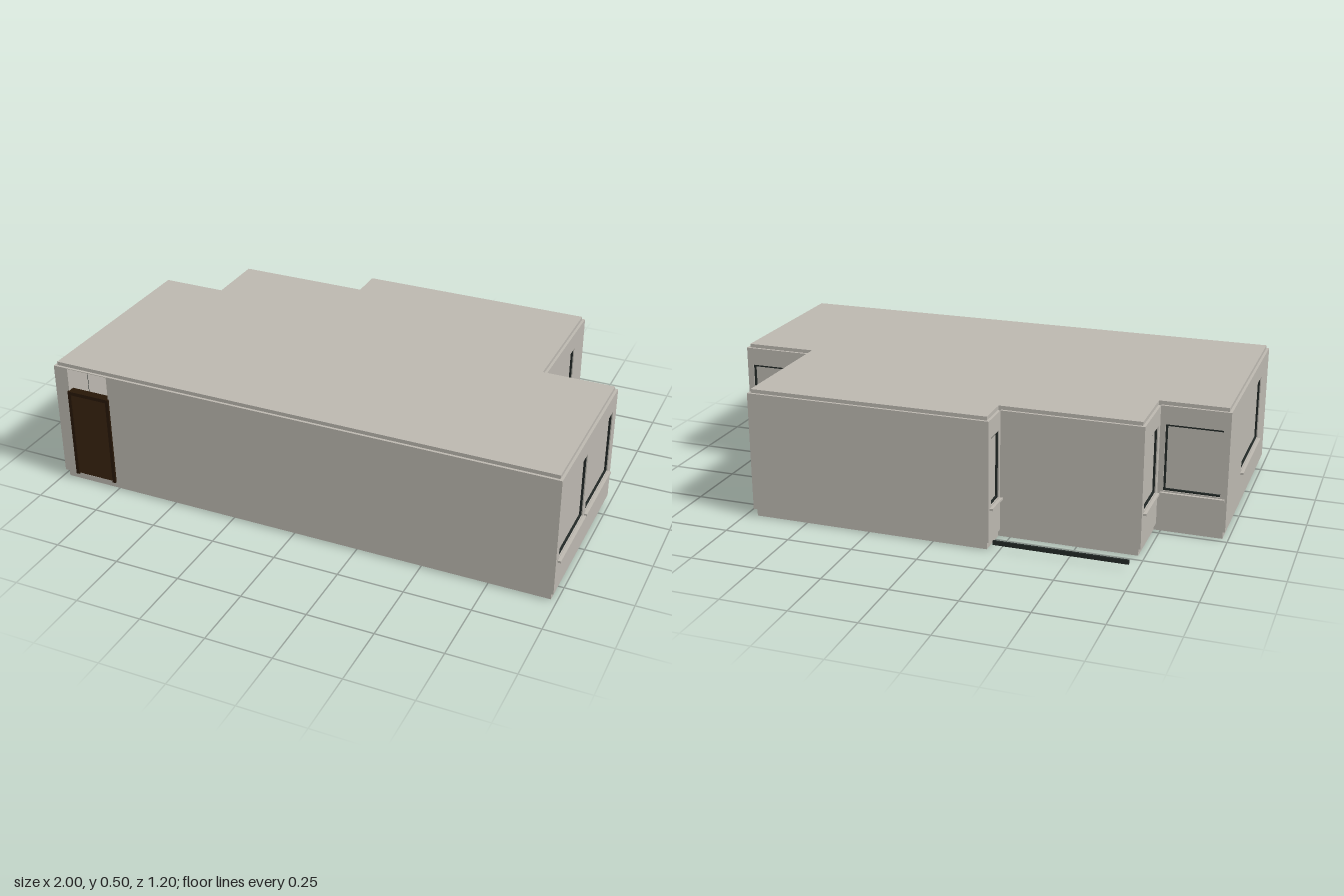
import * as THREE from 'three';

const mat = (name, color) => {
  const m = new THREE.MeshStandardMaterial({ color });
  m.name = name;
  return m;
};

export function createModel() {
  const root = new THREE.Group();
  root.name = 'building';
  const plaster = mat('warm grey plaster', 0xbbb7af);
  const frameDark = mat('dark frame', 0x222826);
  const wood = mat('dark brown wood', 0x38230f);
  const woodDark = mat('door frame brown', 0x271707);

  const add = (parent, name, geo, material) => {
    const m = new THREE.Mesh(geo, material);
    m.name = name;
    parent.add(m);
    return m;
  };
  // Box given by its extents
  const box = (parent, name, material, x0, x1, y0, y1, z0, z1) =>
    add(parent, name, new THREE.BoxGeometry(x1 - x0, y1 - y0, z1 - z0), material)
      .position.set((x0 + x1) / 2, (y0 + y1) / 2, (z0 + z1) / 2);

  // Stepped floor plan as [x, z], inset by d
  const plan = (d) => [
    [-0.988 + d, 0.592 - d], [0.988 - d, 0.592 - d], [0.988 - d, -0.09 + d],
    [0.715 - d, -0.09 + d], [0.715 - d, -0.6 + d], [-0.215 + d, -0.6 + d],
    [-0.215 + d, -0.475 + d], [-0.735 + d, -0.475 + d],
    [-0.735 + d, -0.235 + d], [-0.988 + d, -0.235 + d],
  ];
  const slab = (name, d, y0, y1) => {
    const s = new THREE.Shape(plan(d).map(([x, z]) => new THREE.Vector2(x, -z)));
    const g = new THREE.ExtrudeGeometry(s, { depth: y1 - y0, bevelEnabled: false });
    add(root, name, g.rotateX(-Math.PI / 2).translate(0, y0, 0), plaster);
  };
  slab('floorSlab', 0.01, 0, 0.03);
  slab('roofSlab', 0.01, 0.485, 0.5);

  // Openings per wall: start, end along the wall, bottom, top
  const Y0 = 0.163, Y1 = 0.417, T = 0.025;
  const openings = [
    [[0.058, 0.228, 0.031, 0.484]],
    [[0.03, 0.312, Y0, Y1], [0.342, 0.635, Y0, Y1]],
    [[0.025, 0.25, Y0, Y1]],
    [[0.11, 0.38, 0.215, Y1]],
    [],
    [[0.02, 0.11, Y0, Y1]],
    [],
    [[0.03, 0.21, Y0, Y1]],
    [[0.02, 0.235, Y0, Y1]],
    [[0.285, 0.66, Y0, Y1]],
  ];

  // Window: recessed pane, four frame bars and a projecting sill
  const addWindow = (wall, [u0, u1, y0, y1]) => {
    const w = new THREE.Group();
    w.name = 'window';
    wall.add(w);
    const f = 0.007, zb = -0.022, zf = -0.004;
    box(w, 'pane', plaster, u0, u1, y0, y1, -0.016, -0.011);
    for (const u of [u0, u1 - f]) box(w, 'frameSide', frameDark, u, u + f, y0, y1, zb, zf);
    for (const y of [y0, y1 - f]) box(w, 'frameRail', frameDark, u0 + f, u1 - f, y, y + f, zb, zf);
    box(w, 'sill', plaster, u0 - 0.01, u1 + 0.01, 0.15, 0.158, -0.005, 0.012);
  };

  // Outer walls follow the plan, each seen from outside with u running right
  const corners = plan(0);
  corners.forEach(([ax, az], i) => {
    const [bx, bz] = corners[(i + 1) % corners.length];
    const len = Math.hypot(bx - ax, bz - az);
    const wall = new THREE.Group();
    wall.name = 'wall' + (i + 1);
    wall.position.set(ax, 0, az);
    wall.rotation.y = Math.atan2(az - bz, bx - ax);
    root.add(wall);
    const rect = (S, u0, u1, y0, y1) => new S([[u0, y0], [u1, y0], [u1, y1], [u0, y1]]
      .map(([u, y]) => new THREE.Vector2(u, y)));
    const shape = rect(THREE.Shape, 0, len, 0.03, 0.486);
    for (const o of openings[i]) {
      shape.holes.push(rect(THREE.Path, ...o));
      if (i > 0) addWindow(wall, o);
    }
    const g = new THREE.ExtrudeGeometry(shape, { depth: T, bevelEnabled: false });
    add(wall, 'wallPanel', g.translate(0, 0, -T), plaster);
  });

  // Inner partitions
  box(root, 'partition', plaster, -0.72, 0.7, 0.03, 0.486, 0.06, 0.075);
  box(root, 'partition', plaster, -0.72, 0.12, 0.03, 0.486, 0.24, 0.255);
  box(root, 'partition', plaster, 0.112, 0.125, 0.03, 0.486, -0.05, 0.16);

  // Entrance door with its frame, open above
  const door = new THREE.Group();
  door.name = 'frontDoor';
  root.add(door);
  box(door, 'doorLeaf', wood, -0.92, -0.77, 0.033, 0.378, 0.575, 0.594);
  for (const x of [-0.933, -0.769])
    box(door, 'doorJamb', woodDark, x, x + 0.013, 0.03, 0.392, 0.567, 0.6);
  box(door, 'doorHead', woodDark, -0.92, -0.769, 0.378, 0.392, 0.567, 0.6);

  // Low bar across the rear recess
  box(root, 'rearBar', frameDark, -0.72, -0.225, 0.018, 0.034, -0.585, -0.576);
  return root;
}
